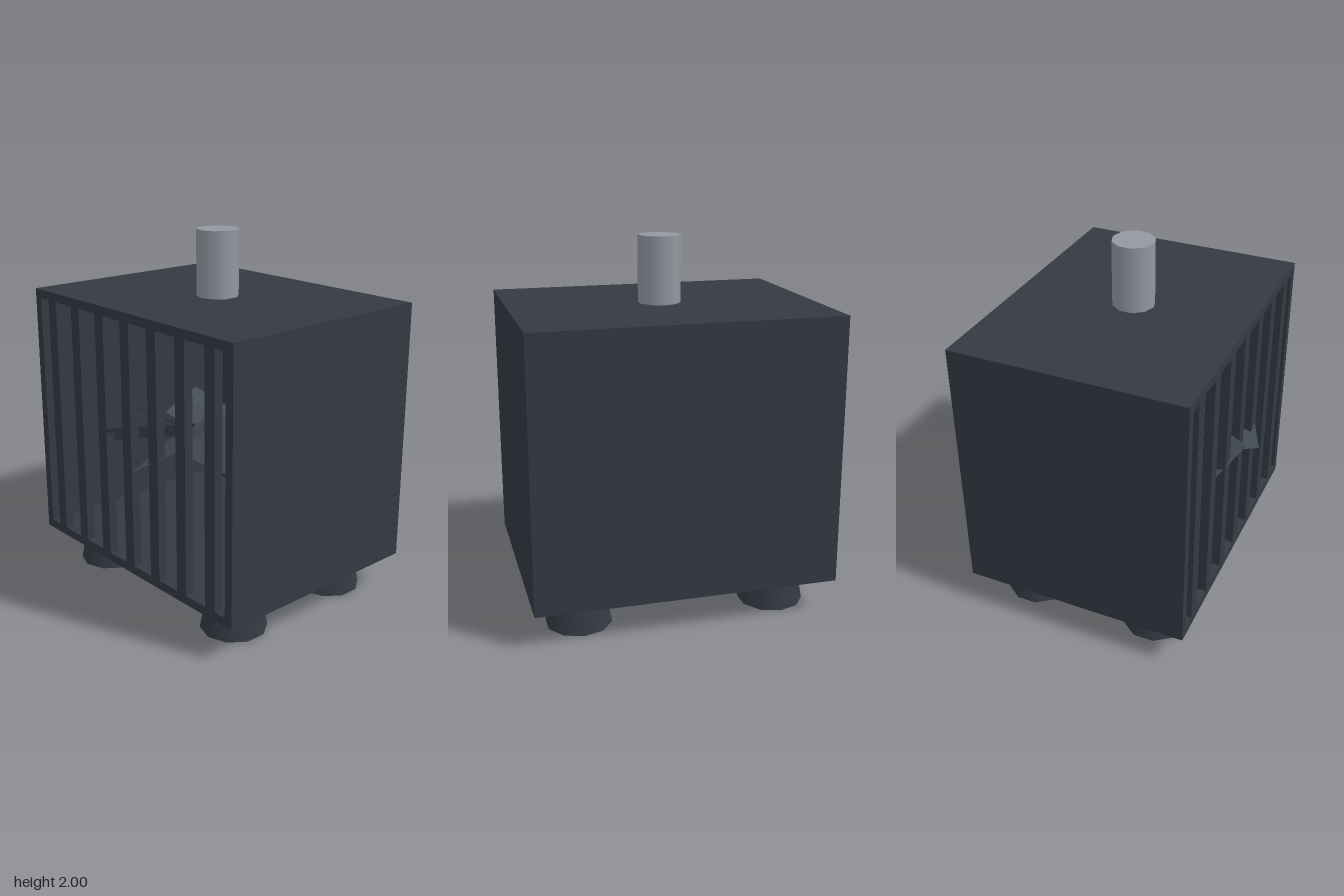
import * as THREE from 'three';

const dark = new THREE.MeshStandardMaterial({ color: 0x343943 });
const steel = new THREE.MeshStandardMaterial({ color: 0x9298a2 });
const bladeMat = new THREE.MeshStandardMaterial({ color: 0x434b57, side: THREE.DoubleSide });

function add(parent, name, geometry, material, x = 0, y = 0, z = 0) {
  const mesh = new THREE.Mesh(geometry, material);
  mesh.name = name;
  mesh.position.set(x, y, z);
  parent.add(mesh);
  return mesh;
}

// Rectangle given by its edges, as a shape or a hole
function rect(Type, x0, x1, y0, y1) {
  return new Type([[x0, y0], [x1, y0], [x1, y1], [x0, y1]].map(p => new THREE.Vector2(...p)));
}

export function createModel() {
  const model = new THREE.Group();
  model.name = 'heater';
  const W = 0.817, wall = 0.05, y0 = 0.19, y1 = 1.64, zBack = -0.67, zFront = 0.6;
  const extrude = (shape, depth) => new THREE.ExtrudeGeometry(shape, { depth, bevelEnabled: false });

  // Hollow casing: tube of four walls closed by a back panel
  const shell = rect(THREE.Shape, -W, W, y0, y1);
  shell.holes.push(rect(THREE.Path, -W + wall, W - wall, y0 + wall, y1 - wall));
  add(model, 'casing', extrude(shell, zFront - wall - zBack), dark, 0, 0, zBack);
  add(model, 'backPanel', new THREE.BoxGeometry(2 * (W - wall), y1 - y0 - 2 * wall, wall),
    dark, 0, (y0 + y1) / 2, zBack + wall / 2);

  // Front grille: seven upright bars between eight slots
  const grille = rect(THREE.Shape, -W, W, y0, y1);
  const pitch = 0.2185, half = 0.036;
  for (let i = -4; i < 4; i++) {
    const left = i === -4 ? -W + wall : i * pitch + half;
    const right = i === 3 ? W - wall : (i + 1) * pitch - half;
    grille.holes.push(rect(THREE.Path, left, right, y0 + wall, y1 - wall));
  }
  add(model, 'frontGrille', extrude(grille, wall), dark, 0, 0, zFront - wall);

  // Fan lying flat, six pitched blades meeting at the axis
  const fan = new THREE.Group();
  fan.name = 'fan';
  fan.position.set(0, 0.914, 0.156);
  const length = 0.505;
  const bladeGeo = new THREE.PlaneGeometry(length, 0.35)
    .rotateX(-Math.PI / 2)
    .rotateX(Math.PI / 6)
    .translate(length / 2, 0, 0);
  for (let i = 0; i < 6; i++) {
    add(fan, 'fanBlade', bladeGeo, bladeMat).rotation.y = i * Math.PI / 3;
  }
  model.add(fan);

  // Flue pipe
  add(model, 'fluePipe', new THREE.CylinderGeometry(0.115, 0.115, 0.36, 10), steel, 0, 1.82, -0.035);

  // Tapered feet
  const footGeo = new THREE.CylinderGeometry(0.145, 0.18, 0.19, 10);
  for (const x of [-0.545, 0.545]) {
    for (const z of [-0.395, 0.335]) add(model, 'foot', footGeo, dark, x, 0.095, z);
  }
  return model;
}
